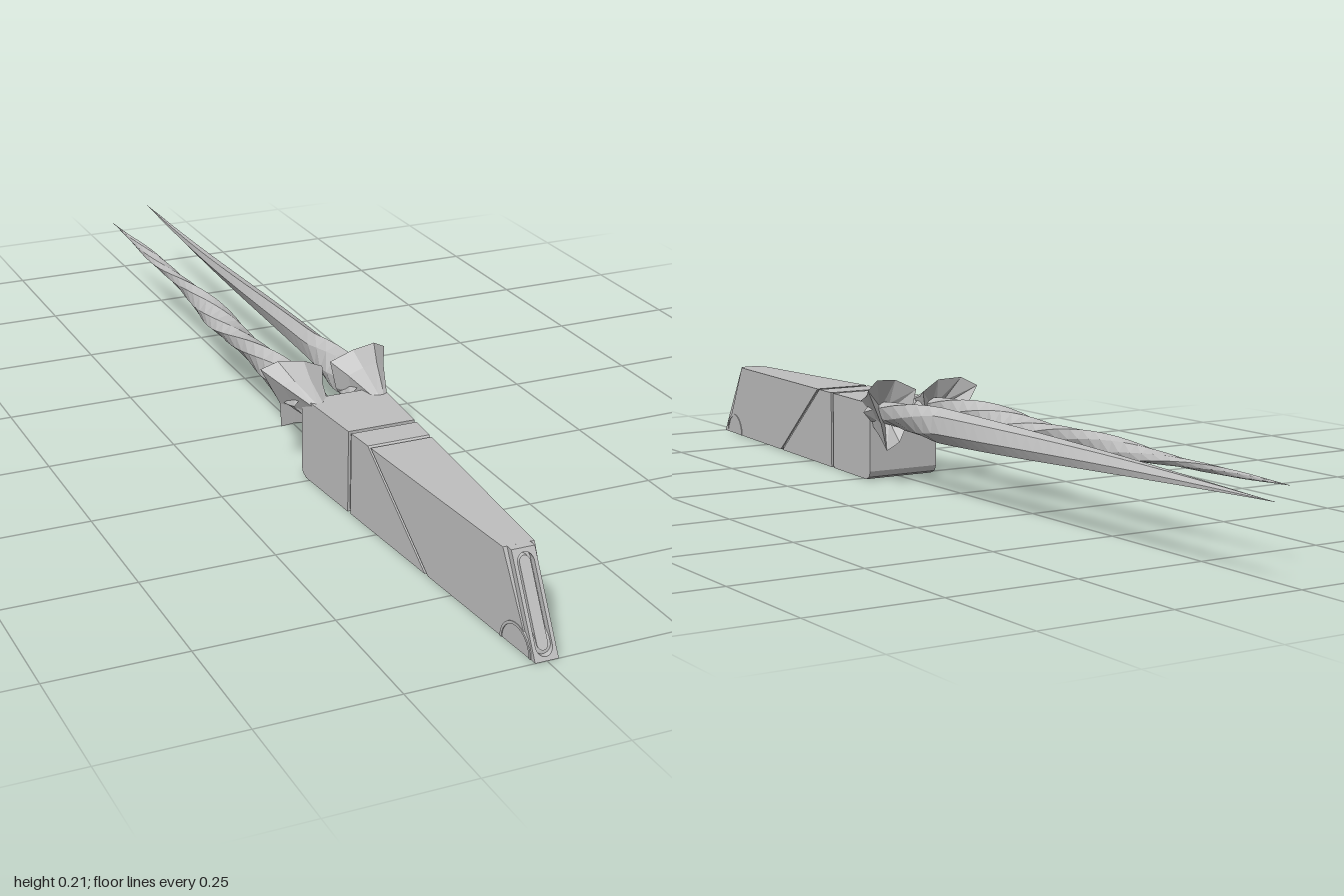
import * as THREE from 'three';

const grey = new THREE.MeshStandardMaterial({ color: 0xbfbfbf, side: THREE.DoubleSide, flatShading: true });
grey.name = 'grey';

const TOP = 0.157;
const SLANT = 0.573; // how far the nose leans back per unit of height
const halfWidth = (z) => 0.021 + (1 - z) * 0.073;

function addMesh(group, name, geometry) {
  geometry.computeVertexNormals();
  const mesh = new THREE.Mesh(geometry, grey);
  mesh.name = name;
  group.add(mesh);
  return mesh;
}

// Moves every vertex of a geometry by a rule
function warp(geometry, rule) {
  const p = geometry.attributes.position;
  const v = new THREE.Vector3();
  for (let i = 0; i < p.count; i++) {
    rule(v.fromBufferAttribute(p, i));
    p.setXYZ(i, v.x, v.y, v.z);
  }
  return geometry;
}

// Side outline in (z, y), stretched across the tapering width of the body
function taperedBlock(shape, scale = 1) {
  const g = new THREE.ExtrudeGeometry(shape, { depth: 2, bevelEnabled: false, curveSegments: 12 });
  g.translate(0, 0, -1).rotateY(-Math.PI / 2);
  return warp(g, (v) => { v.x *= halfWidth(v.z) * scale; });
}

const outline = (points) => new THREE.Shape(points.map(([z, y]) => new THREE.Vector2(z, y)));

function roundedSlot(w, y0, y1, Type) {
  const s = new Type();
  s.moveTo(w, y0 + w);
  s.lineTo(w, y1 - w);
  s.absarc(0, y1 - w, w, 0, Math.PI, false);
  s.lineTo(-w, y0 + w);
  s.absarc(0, y0 + w, w, Math.PI, Math.PI * 2, false);
  return s;
}

// Upright plate leaned back to follow the nose; front is its offset from the tip
function nosePlate(shape, depth, front) {
  const g = new THREE.ExtrudeGeometry(shape, { depth, bevelEnabled: false, curveSegments: 8 });
  g.translate(0, 0, front - depth);
  return warp(g, (v) => { v.z += 1 - v.y * SLANT; });
}

// Skin over rings of [x, y, z] points, ordered from front to back
function loft(rings) {
  const n = rings[0].length;
  const index = [];
  for (let i = 0; i < rings.length - 1; i++) {
    for (let j = 0; j < n; j++) {
      const a = i * n + j, b = i * n + (j + 1) % n;
      index.push(a, a + n, b, b, a + n, b + n);
    }
  }
  const g = new THREE.BufferGeometry();
  g.setAttribute('position', new THREE.Float32BufferAttribute(rings.flat(2), 3));
  g.setIndex(index);
  return g;
}

// Twisted, tapering blade with an oval six-sided section
function horn({ side, tip, wide, thin, twist }) {
  const rings = [];
  const steps = 36, sides = 6, start = 0.22;
  for (let i = 0; i <= steps; i++) {
    const t = i / steps;
    const z = start + (tip - start) * t;
    const taper = Math.max(1 - Math.pow(t, 1.6), 0.01);
    const phi = twist(t);
    const cx = side * (0.056 + 0.003 * Math.sin(t * 7)), cy = 0.14 + 0.005 * t;
    const ring = [];
    for (let j = 0; j < sides; j++) {
      const a = (j / sides) * Math.PI * 2;
      const u = Math.cos(a) * wide * taper, v = Math.sin(a) * thin * taper;
      ring.push([
        cx + u * Math.cos(phi) - v * Math.sin(phi),
        cy + u * Math.sin(phi) + v * Math.cos(phi),
        z]);
    }
    rings.push(ring);
  }
  return loft(rings);
}

// Faceted flaring collar around the root of a horn
function collar(side, drop) {
  const rim = [
    [0.127, 0.195, 0.14], [0.098, 0.212, 0.155], [0.05, 0.209, 0.165], [0.008, 0.188, 0.155],
    [0.018, 0.135, 0.16], [0.05, 0.085, 0.15], [0.085, 0.072, 0.14], [0.092, 0.125, 0.15]];
  const ringAt = (mix, cx, cy, cz) => rim.map(([x, y, z]) => [
    cx + (x - cx) * mix, cy + (y - cy) * mix, cz + (z - cz) * (mix < 0.3 ? 0 : mix)]);
  const rings = [
    ringAt(0.02, 0.055, 0.145, 0.28),
    ringAt(0.25, 0.055, 0.145, 0.265),
    ringAt(0.65, 0.06, 0.145, 0.275),
    ringAt(1, 0, 0, 0),
    ringAt(0.29, 0.058, 0.14, 0.18)];
  const g = loft(side > 0 ? rings : rings.map((r) => r.map(([x, y, z]) => [-x, y - drop, z]).reverse()));
  return g;
}

export function createModel() {
  const model = new THREE.Group();
  model.name = 'twinHornBlaster';

  // Body: three wedge blocks separated by narrow grooves around a core
  const body = new THREE.Group();
  body.name = 'body';
  model.add(body);
  addMesh(body, 'noseBlock', taperedBlock(outline(
    [[0.986, 0], [0.896, TOP], [0.475, TOP], [0.675, 0]])));
  addMesh(body, 'middleBlock', taperedBlock(outline(
    [[0.665, 0], [0.465, TOP], [0.406, TOP], [0.406, 0]])));
  addMesh(body, 'rearBlock', taperedBlock(outline(
    [[0.396, 0], [0.396, TOP], [0.235, TOP], [0.22, 0.145], [0.22, 0.018], [0.225, 0.006], [0.238, 0]])));
  addMesh(body, 'core', taperedBlock(outline(
    [[0.8, 0.005], [0.8, 0.152], [0.26, 0.152], [0.26, 0.005]]), 0.93));

  // Slanted nose frame with a recessed slot and a raised bar inside
  const w = 0.0212;
  const frame = outline([[-w, 0], [w, 0], [w, TOP], [-w, TOP]]);
  frame.holes.push(roundedSlot(0.015, 0.006, 0.151, THREE.Path));
  addMesh(body, 'noseFrame', nosePlate(frame, 0.014, 0));
  addMesh(body, 'noseBar', nosePlate(roundedSlot(0.01, 0.013, 0.145, THREE.Shape), 0.012, -0.004));

  // Thin half-ring trim low on both sides of the nose
  const arc = new THREE.Shape();
  arc.absarc(0.943, 0, 0.044, 0, Math.PI, false);
  arc.absarc(0.943, 0, 0.039, Math.PI, 0, true);
  addMesh(body, 'noseArcTrim', taperedBlock(arc, 1.05));

  // Collars and horns
  addMesh(model, 'leftCollar', collar(1, 0));
  addMesh(model, 'rightCollar', collar(-1, 0.006));
  addMesh(model, 'leftHorn', horn({
    side: 1, tip: -1, wide: 0.037, thin: 0.023,
    twist: (t) => Math.PI * (0.5 * Math.min(t / 0.2, 1) + 0.3 * t) }));
  addMesh(model, 'rightHorn', horn({
    side: -1, tip: -0.9, wide: 0.037, thin: 0.024,
    twist: (t) => Math.PI * 2.75 * t }));

  return model;
}
